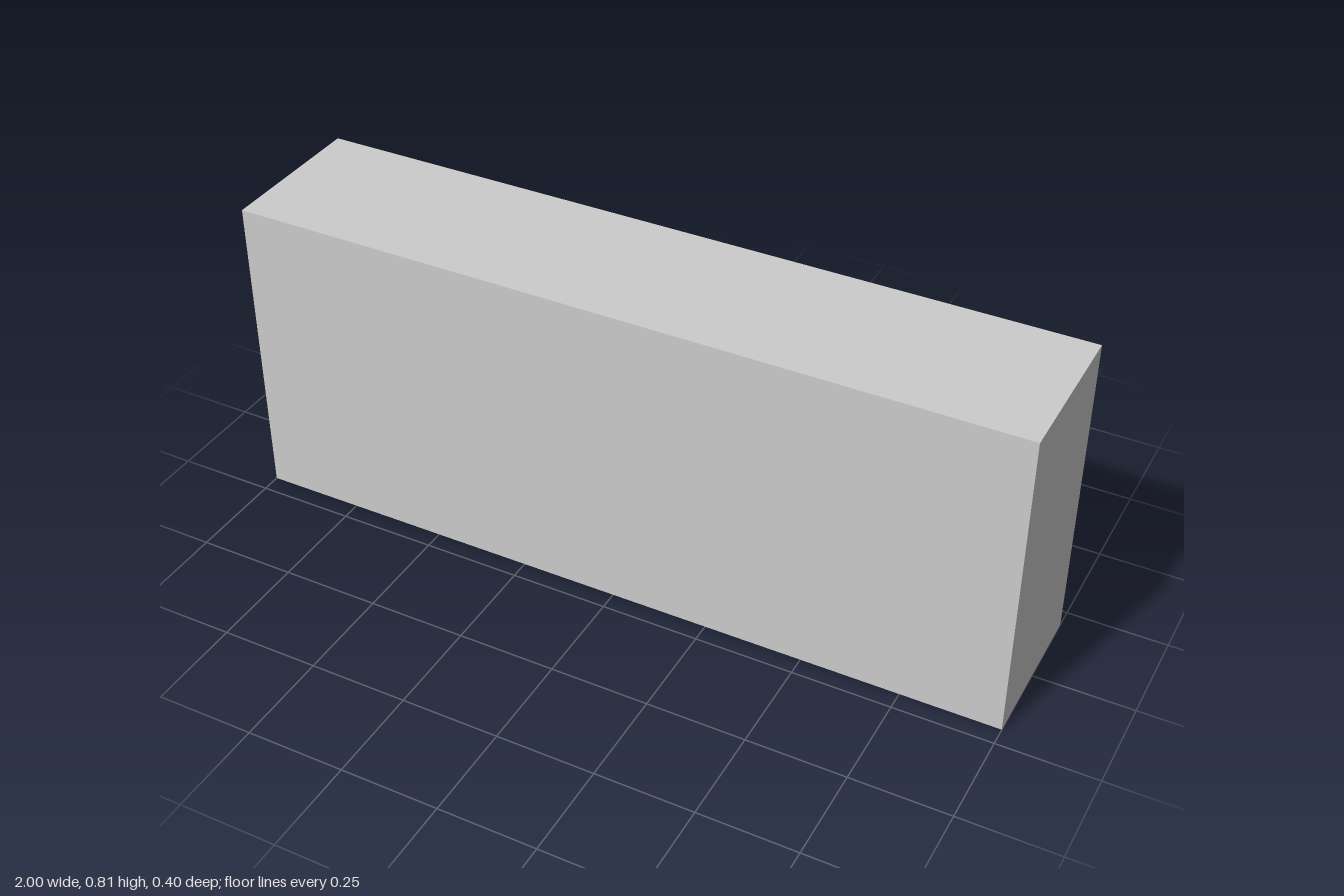
import * as THREE from 'three';

const W = 1, H = 0.808, D = 0.201;    // half width, height, half depth
const T = 0.02;                       // thin wall thickness
const POCKET_FRONT = 0.131;           // z where the rear pocket ends
const STEP_X = -0.615, STEP_Y = 0.388; // inner corner of the L-shaped pocket

const material = new THREE.MeshStandardMaterial({ color: 0xcccccc, flatShading: true });

function polygon(points) {
  return new THREE.Shape(points.map(([x, y]) => new THREE.Vector2(x, y)));
}

function extrude(name, shape, depth) {
  const geometry = new THREE.ExtrudeGeometry(shape, { depth, bevelEnabled: false, curveSegments: 8 });
  const mesh = new THREE.Mesh(geometry, material);
  mesh.name = name;
  return mesh;
}

export function createModel() {
  const model = new THREE.Group();
  model.name = 'hollowPanelBox';

  // Floor plate with a pin-sized cable hole
  const floorShape = polygon([[-W, -D], [W, -D], [W, D], [-W, D]]);
  const hole = new THREE.Path();
  hole.absarc(-0.6, -0.07, 0.004, 0, Math.PI * 2, true);
  floorShape.holes.push(hole);
  const floor = extrude('floorPlate', floorShape, T);
  floor.geometry.rotateX(-Math.PI / 2);

  // Side walls, top and solid upper block around the L-shaped rear pocket
  const frame = extrude('rearFrame', polygon([
    [W, T], [W, H], [-W, H], [-W, T], [-W + T, T], [-W + T, H - T],
    [STEP_X, H - T], [STEP_X, STEP_Y], [W - T, STEP_Y], [W - T, T],
  ]), POCKET_FRONT + D);
  frame.position.z = -D;

  // Thick front panel closing the pocket
  const front = extrude('frontPanel', polygon([[-W, T], [W, T], [W, H], [-W, H]]), D - POCKET_FRONT);
  front.position.z = POCKET_FRONT;

  model.add(floor, frame, front);
  return model;
}
